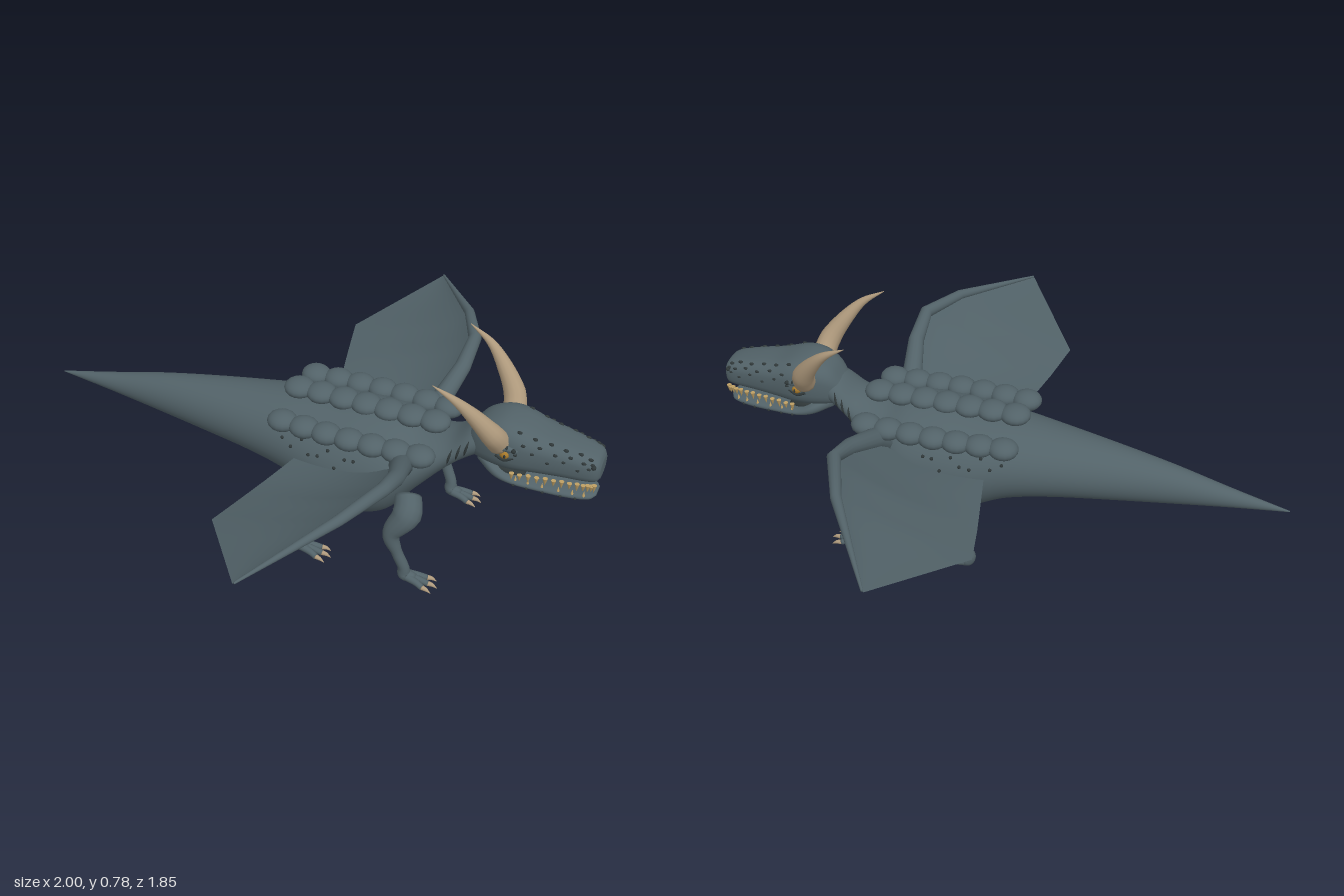
import * as THREE from 'three';

const mat = (name, color, side = THREE.FrontSide) => {
  const m = new THREE.MeshStandardMaterial({ color, side });
  m.name = name;
  return m;
};

// Skin a list of equal-length rings of points
function skin(rings) {
  const n = rings[0].length, pos = [], idx = [];
  rings.forEach(r => r.forEach(p => pos.push(p.x, p.y, p.z)));
  for (let i = 0; i < rings.length - 1; i++) {
    for (let j = 0; j < n; j++) {
      const a = i * n + j, b = i * n + (j + 1) % n;
      idx.push(a, b, a + n, b, b + n, a + n);
    }
  }
  const g = new THREE.BufferGeometry();
  g.setAttribute('position', new THREE.Float32BufferAttribute(pos, 3));
  g.setIndex(idx);
  g.computeVertexNormals();
  return g;
}

// Smooth body form from sections [x, bottom, top, half width]; returns surface point by section index and angle
function form(sections, power = 1) {
  const c1 = new THREE.CatmullRomCurve3(sections.map(s => new THREE.Vector3(s[0], s[1], s[2])), false, 'catmullrom');
  const c2 = new THREE.CatmullRomCurve3(sections.map(s => new THREE.Vector3(s[0], s[3], 0)), false, 'catmullrom');
  const sp = v => Math.sign(v) * Math.abs(v) ** power;
  return (k, a) => {
    const t = k / (sections.length - 1), p = c1.getPoint(t), w = c2.getPoint(t).y;
    return new THREE.Vector3(p.x, (p.y + p.z) / 2 + (p.z - p.y) / 2 * sp(Math.cos(a)), w * sp(Math.sin(a)));
  };
}

function loft(surface, count, sides = 32, steps = 6) {
  const rings = [];
  for (let i = 0; i <= (count - 1) * steps; i++) {
    rings.push(Array.from({ length: sides }, (_, j) => surface(i / steps, j / sides * Math.PI * 2)));
  }
  // close both ends
  const mid = r => r.map(() => r.reduce((s, p) => s.add(p), new THREE.Vector3()).divideScalar(r.length));
  return skin([mid(rings[0]), ...rings, mid(rings[rings.length - 1])]);
}

// Tapered limb through points [x, y, z, radius]; one step per point gives straight segments
function limb(points, side = 1, steps = 5, sides = 14) {
  const curve = new THREE.CatmullRomCurve3(points.map(p => new THREE.Vector3(p[0], p[1], p[2] * side)), false, 'catmullrom');
  const n = (points.length - 1) * steps, rings = [];
  let nor = new THREE.Vector3(0.3, 0.2, 1);
  for (let i = 0; i <= n; i++) {
    const t = i / n, c = curve.getPoint(t), tan = curve.getTangent(t);
    nor = nor.clone().addScaledVector(tan, -tan.dot(nor)).normalize();
    const bin = tan.clone().cross(nor);
    const k = Math.min(Math.floor(i / steps), points.length - 2);
    const r = THREE.MathUtils.lerp(points[k][3], points[k + 1][3], i / steps - k);
    const ring = s => Array.from({ length: sides }, (_, j) => {
      const a = j / sides * Math.PI * 2;
      return c.clone().addScaledVector(nor, Math.cos(a) * s).addScaledVector(bin, Math.sin(a) * s);
    });
    if (i === 0) rings.push(ring(0));
    rings.push(ring(r));
    if (i === n) rings.push(ring(0));
  }
  return skin(rings);
}

export function createModel() {
  const hide = mat('slate hide', 0x526268);
  const wingSkin = mat('wing membrane', 0x506066, THREE.DoubleSide);
  const horn = mat('horn', 0xae997c);
  const tooth = mat('tooth', 0xbe9f64);
  const dark = mat('dark scale', 0x2f3738);
  const scarColor = mat('scar olive', 0x3a392c);
  const amber = mat('amber eye', 0xa87a2c);
  const model = new THREE.Group();
  const add = (name, geo, material) => {
    const m = new THREE.Mesh(geo, material);
    m.name = name;
    model.add(m);
    return m;
  };
  const ball = (name, p, r, material, sx = 1, sy = 1, sz = 1) => {
    const m = add(name, new THREE.SphereGeometry(r, 16, 12), material);
    m.position.copy(p);
    m.scale.set(sx, sy, sz);
    return m;
  };
  const V = (x, y, z) => new THREE.Vector3(x, y, z);

  // Tail, trunk and neck
  const trunk = [
    [-1, .303, .307, .002], [-.8, .283, .352, .031], [-.6, .26, .4, .063], [-.4, .24, .435, .1],
    [-.2, .22, .462, .14], [-.05, .19, .48, .172], [.08, .13, .49, .2], [.2, .1, .5, .21],
    [.31, .14, .495, .2], [.4, .25, .475, .15], [.5, .365, .49, .1], [.58, .43, .55, .08], [.66, .47, .57, .06]];
  const trunkAt = form(trunk);
  add('body', loft(trunkAt, trunk.length, 40), hide);

  // Head and lower jaw
  const skull = [
    [.56, .45, .53, .05], [.6, .44, .585, .078], [.66, .435, .612, .1], [.72, .435, .61, .106], [.8, .442, .586, .094],
    [.88, .446, .57, .082], [.95, .447, .554, .071], [.985, .45, .54, .059], [.998, .462, .521, .042]];
  const skullAt = form(skull, .7);
  add('head', loft(skullAt, skull.length), hide);
  const jaw = [
    [.6, .42, .47, .05], [.66, .395, .45, .085], [.72, .385, .423, .09], [.8, .379, .412, .082],
    [.9, .372, .406, .068], [.97, .375, .4, .05], [.992, .384, .395, .025]];
  const jawAt = form(jaw, .8);
  add('lowerJaw', loft(jawAt, jaw.length), hide);
  add('mouthLining', loft(form([[.62, .41, .46, .06], [.7, .4, .45, .07], [.76, .4, .42, .05]]), 3), dark);

  // Belly patch, lying flat against the slope of the chest
  ball('bellyPatch', trunkAt(7.85, Math.PI), .028, scarColor, 1, .2, .85).rotation.z = .35;

  // Three rows of back scutes
  for (let i = 0; i < 7; i++) ball('spineScute', V(-.053 + i * .081, .503, 0), .053, hide, 1, .58, 1);

  for (const s of [1, -1]) {
    for (let i = 0; i < 7; i++) {
      const x = -.053 + i * .081, z = .145 + .01 * Math.sin(i / 6 * Math.PI);
      ball('sideScute', V(x, .462, s * z), .052, hide, 1, .64, .95);
    }

    // Horn
    add('horn', limb([[.675, .55, .085, .04], [.657, .605, .125, .037], [.607, .677, .155, .026], [.55, .737, .177, .014], [.475, .783, .188, .001]], s), horn);

    // Eye with brow and lid
    ball('eye', V(.7, .522, s * .104), .016, amber, 1, .9, .7);
    ball('pupil', V(.703, .522, s * .114), .006, dark, .6, 1.2, .6);
    add('brow', limb([[.655, .538, .098, .008], [.69, .553, .11, .012], [.74, .541, .1, .007]], s), hide);
    add('eyeLid', limb([[.67, .512, .102, .005], [.7, .502, .106, .005], [.73, .515, .102, .004]], s), dark);
    for (let i = 0; i < 4; i++) ball('browScale', V(.658 + i * .024, .548 + .007 * Math.sin(i), s * .111), .0075, dark);

    // Snout and jaw scales
    for (let i = 0; i < 6; i++) {
      for (let j = 0; j < 3; j++) {
        const p = skullAt(3.2 + i * .62 + (j % 2) * .25, s * (.6 + j * .42 + .1 * Math.sin(i * 3 + j)));
        ball('snoutScale', p, .008 - .001 * j, dark, 1.1, .7, .7);
      }
    }
    for (let i = 0; i < 5; i++) ball('jawScale', jawAt(2.2 + i * .55, s * 1.75), .005, dark);
    ball('nostril', skullAt(6.7, s * 1.15), .008, dark);

    // Teeth
    for (let i = 0; i < 13; i++) {
      const p = skullAt(3.1 + i * .33, s * 1.95);
      const t = add('upperTooth', new THREE.ConeGeometry(.0085, .03 - .005 * (i % 2), 8), tooth);
      t.position.set(p.x, .434, p.z * .94);
      t.rotation.x = Math.PI;
      if (i % 2) {
        const q = jawAt(2 + i * .25, s * 1.2);
        add('lowerTooth', new THREE.ConeGeometry(.006, .022, 8), tooth).position.set(q.x, q.y + .008, q.z * .92);
      }
    }

    // Neck creases, flank scar and flank spots
    const mark = (name, k0, k1, a0, a1, r, material) => add(name, limb([0, .33, .67, 1].map(t => {
      const p = trunkAt(k0 + (k1 - k0) * t, s * (a0 + (a1 - a0) * t));
      return [p.x, p.y, p.z * s, t % 1 ? r : .001];
    }), s), material);
    for (let i = 0; i < 3; i++) mark('neckCrease', 10.1 + i * .33, 10.25 + i * .33, 1.95, 1.1, .004, dark);
    mark('flankScar', 7.5, 8.15, 1.85, 1.15, .006, scarColor);
    for (let i = 0; i < 9; i++) {
      ball('flankSpot', trunkAt(5 + i * .27, s * (1.12 + .14 * Math.sin(i * 2.3))), .006, dark);
    }

    // Legs
    add('rearLeg', limb([[.07, .31, .17, .045], [.1, .265, .215, .063], [.155, .195, .245, .036], [.1, .12, .247, .021], [.04, .065, .245, .018], [.045, .03, .242, .023], [.08, .018, .24, .017]], s), hide);
    add('frontLeg', limb([[.41, .305, .17, .045], [.425, .27, .222, .05], [.385, .2, .25, .031], [.405, .13, .252, .019], [.43, .065, .246, .019], [.435, .03, .242, .024], [.47, .018, .24, .017]], s), hide);

    // Feet: three toes with claws
    for (const fx of [.055, .44]) {
      for (const d of [-1, 0, 1]) {
        const len = d ? .066 : .078, z = .24 + d * .027;
        add('toe', limb([[fx, .025, .24 + d * .009, .014], [fx + .04, .02, .24 + d * .018, .012], [fx + len, .012, z, .01]], s), hide);
        add('claw', limb([[fx + len, .013, z, .009], [fx + len + .016, .011, z + d * .003, .0065], [fx + len + .032, .002, z + d * .005, .001]], s), horn);
      }
    }

    // Wing: angular arm along the leading edge with a sagging membrane behind it
    const lead = [[.385, .44, .18], [.418, .505, .33], [.42, .55, .45], [.345, .537, .62], [.145, .474, .925]];
    const trail = [[.01, .345, .16], [-.03, .353, .33], [-.058, .362, .45], [-.09, .38, .605], [.14, .47, .925]];
    const radii = [.036, .028, .023, .018, .004];
    add('wingArm', limb([[.36, .38, .12, .045], ...lead.map((p, i) => [...p, radii[i]])], s, 1), hide);
    const rows = 16, cols = 14, membrane = new THREE.PlaneGeometry(1, 1, cols, rows), mp = membrane.attributes.position;
    for (let i = 0; i <= rows; i++) {
      const f = i / rows * 4, k = Math.min(Math.floor(f), 3);
      const at = e => V(...e[k]).lerp(V(...e[k + 1]), f - k);
      for (let j = 0; j <= cols; j++) {
        const v = j / cols, p = at(lead).lerp(at(trail), v);
        p.y -= .04 * Math.sin(Math.PI * v ** .7) * (1 - (i / rows) ** 3);
        mp.setXYZ(i * (cols + 1) + j, p.x, p.y, p.z * s);
      }
    }
    // keep the upper face outward on both sides
    if (s > 0) {
      const ix = membrane.index;
      for (let i = 0; i < ix.count; i += 3) {
        const a = ix.getX(i);
        ix.setX(i, ix.getX(i + 1));
        ix.setX(i + 1, a);
      }
    }
    membrane.computeVertexNormals();
    add('wingMembrane', membrane, wingSkin);
  }
  return model;
}
